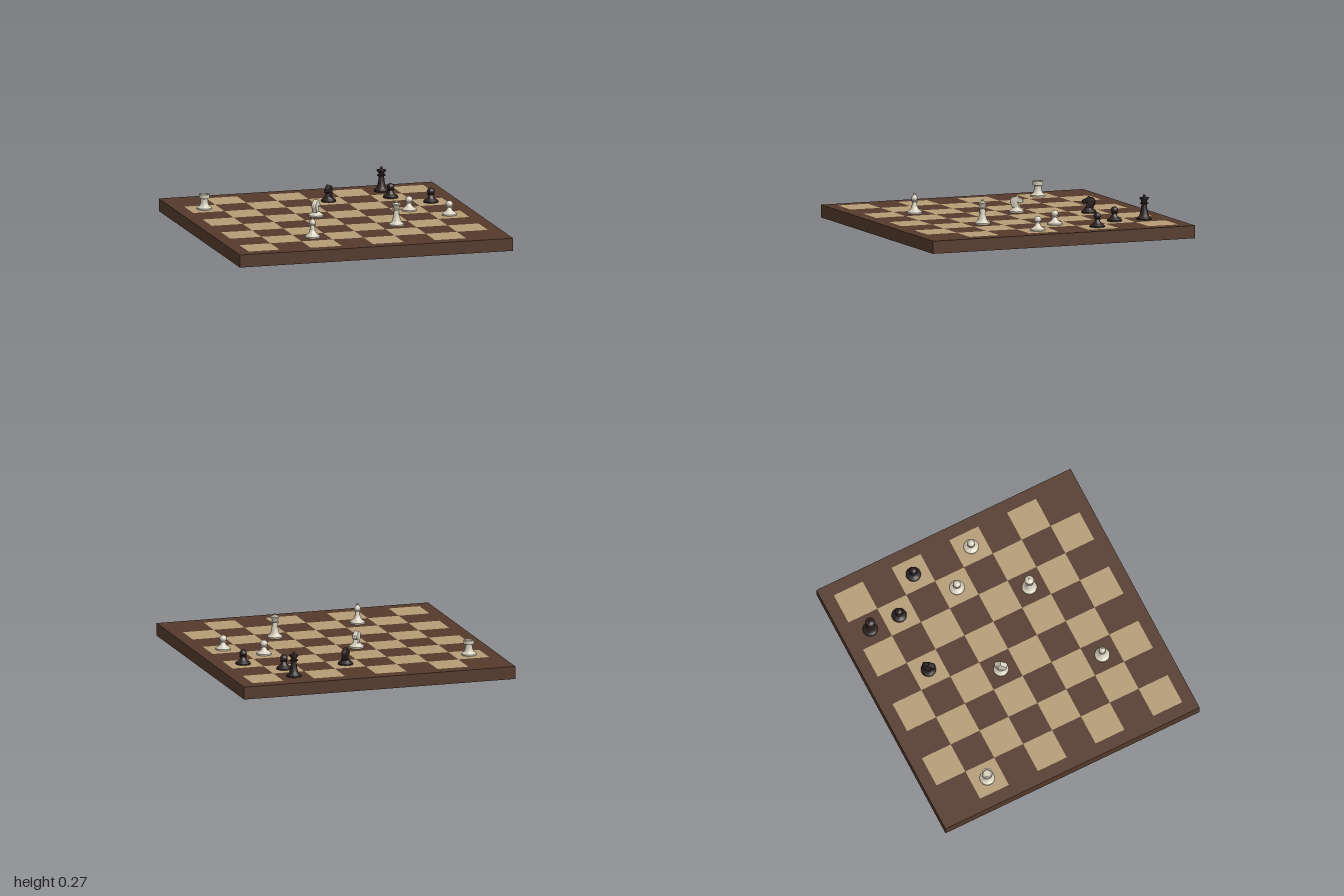
import * as THREE from 'three';
import { toCreasedNormals } from 'three/addons/utils/BufferGeometryUtils.js';

const paint = (name, color) => {
  const m = new THREE.MeshStandardMaterial({ color });
  m.name = name;
  return m;
};

const TOP = 0.09;      // height of the playing surface
const CELL = 2 / 8.8;  // width of one square

// Foot shared by every piece: [radius, height above the board]
const FOOT = [[0, 0], [0.053, 0], [0.053, 0.01], [0.047, 0.017], [0.036, 0.023]];

const PROFILES = {
  pawn: [...FOOT, [0.023, 0.034], [0.016, 0.052], [0.026, 0.054], [0.026, 0.059], [0.016, 0.061],
    [0.023, 0.068], [0.0265, 0.078], [0.023, 0.091], [0.013, 0.1], [0, 0.103]],
  rook: [...FOOT, [0.03, 0.035], [0.026, 0.055], [0.026, 0.075], [0.037, 0.08], [0.038, 0.108],
    [0.028, 0.108], [0.028, 0.092], [0, 0.092]],
  bishop: [...FOOT, [0.026, 0.038], [0.018, 0.06], [0.016, 0.083], [0.026, 0.086], [0.026, 0.09],
    [0.017, 0.092], [0.023, 0.102], [0.023, 0.112], [0.014, 0.127], [0.006, 0.133],
    [0.009, 0.139], [0.006, 0.145], [0, 0.147]],
  king: [...FOOT, [0.029, 0.04], [0.022, 0.075], [0.019, 0.108], [0.03, 0.112], [0.03, 0.117],
    [0.019, 0.12], [0.021, 0.132], [0.034, 0.15], [0.032, 0.154], [0.014, 0.158],
    [0.008, 0.163], [0.01, 0.169], [0.006, 0.175], [0, 0.177]],
  knight: [...FOOT, [0.031, 0.03], [0.028, 0.036], [0, 0.036]],
};

function turned(name, profile, material) {
  const geo = new THREE.LatheGeometry(profile.map(([r, y]) => new THREE.Vector2(r, y)), 32);
  const mesh = new THREE.Mesh(toCreasedNormals(geo, 0.7), material);
  mesh.name = name;
  return mesh;
}

// Horse head and neck, facing +x in its own frame
function horseHead(material) {
  const s = new THREE.Shape();
  s.moveTo(-0.024, 0.03);
  s.bezierCurveTo(-0.03, 0.055, -0.05, 0.075, -0.036, 0.095);
  s.quadraticCurveTo(-0.026, 0.108, -0.006, 0.108);
  s.lineTo(0.002, 0.114);
  s.lineTo(0.01, 0.105);
  s.lineTo(0.041, 0.088);
  s.lineTo(0.043, 0.074);
  s.lineTo(0.032, 0.068);
  s.lineTo(0.006, 0.075);
  s.quadraticCurveTo(0.012, 0.05, 0.024, 0.03);
  s.closePath();
  const geo = new THREE.ExtrudeGeometry(s, {
    depth: 0.024, bevelThickness: 0.006, bevelSize: 0.004, bevelSegments: 2, curveSegments: 8,
  });
  geo.translate(0, 0, -0.012);
  const mesh = new THREE.Mesh(toCreasedNormals(geo, 0.7), material);
  mesh.name = 'horseHead';
  return mesh;
}

export function createModel() {
  const model = new THREE.Group();
  model.name = 'chessBoard';
  const brown = paint('dark wood', 0x543a2c);
  const tan = paint('light wood', 0xb59c75);
  const ivory = paint('ivory', 0xd6cfbd);
  const ebony = paint('ebony', 0x2b2020);

  // Board slab, whose top also forms the dark squares
  const slab = new THREE.Mesh(new THREE.BoxGeometry(2, TOP, 2), brown);
  slab.name = 'board';
  slab.position.y = TOP / 2;
  model.add(slab);

  // Light squares inlaid on alternate cells
  const at = (i) => (i - 3.5) * CELL;
  const squares = new THREE.Group();
  squares.name = 'lightSquares';
  const tile = new THREE.PlaneGeometry(CELL, CELL).rotateX(-Math.PI / 2);
  for (let row = 0; row < 8; row++) {
    for (let col = 0; col < 8; col++) {
      if ((row + col) % 2 === 0) continue;
      const sq = new THREE.Mesh(tile, tan);
      sq.name = 'lightSquare';
      sq.position.set(at(col), TOP + 0.001, at(row));
      squares.add(sq);
    }
  }
  model.add(squares);

  // Pieces: kind, column, row, material, turn about y
  const pieces = [
    ['rook', 0, 1, ivory], ['knight', 3, 3, ivory, 0.95], ['pawn', 6, 3, ivory],
    ['pawn', 7, 4, ivory], ['king', 5, 5, ivory], ['bishop', 2, 6, ivory],
    ['king', 6, 0, ebony], ['knight', 4, 1, ebony, 0.95 + Math.PI],
    ['pawn', 6, 1, ebony], ['pawn', 7, 2, ebony],
  ];
  for (const [kind, col, row, material, turn = 0] of pieces) {
    const piece = new THREE.Group();
    piece.name = `${material.name} ${kind}`;
    piece.add(turned(kind === 'knight' ? 'knightBase' : kind, PROFILES[kind], material));
    if (kind === 'knight') piece.add(horseHead(material));
    piece.position.set(at(col), TOP, at(row));
    piece.rotation.y = turn;
    model.add(piece);
  }
  return model;
}
